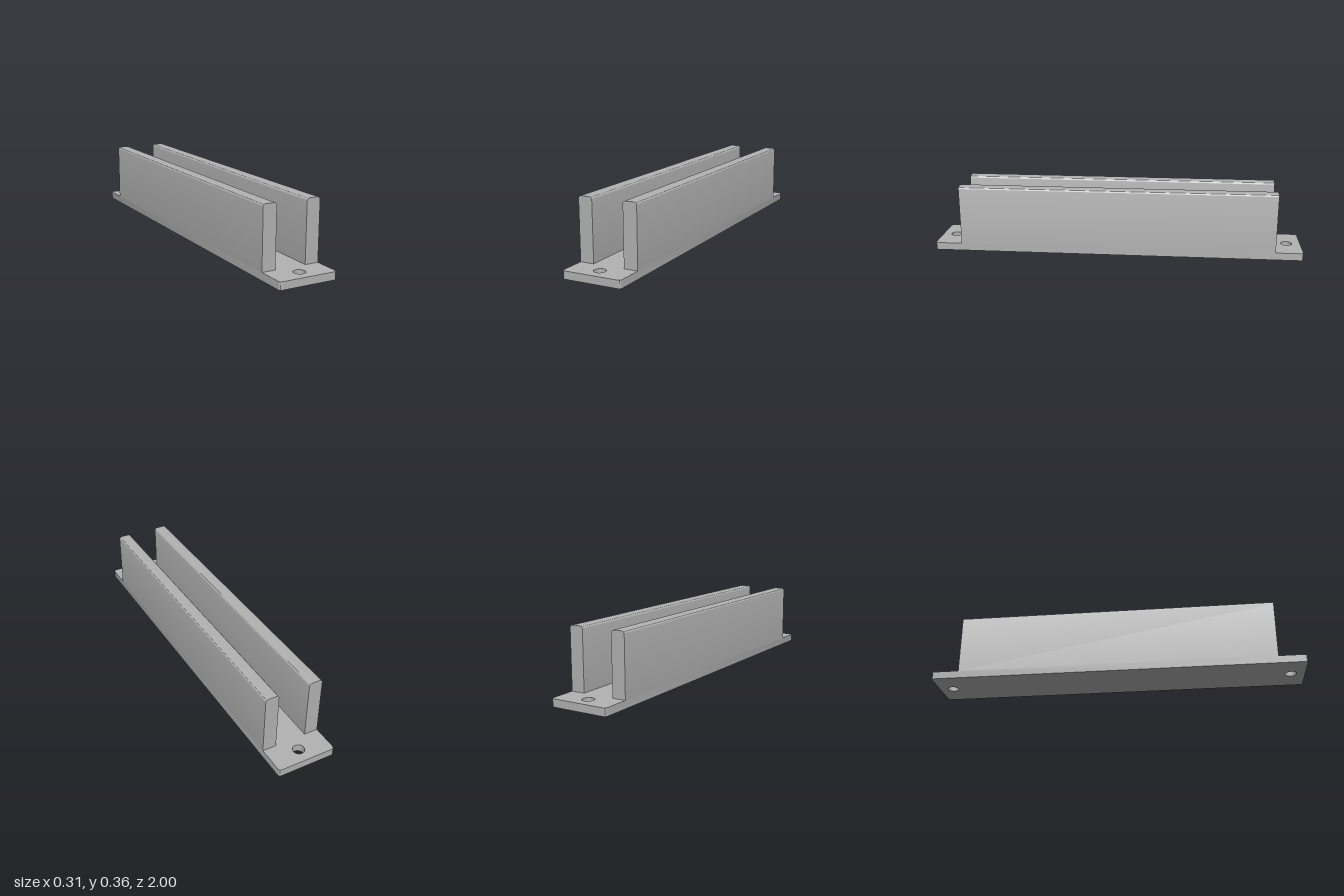
import * as THREE from 'three';
import { toCreasedNormals } from 'three/addons/utils/BufferGeometryUtils.js';

const HALF_WIDTH = 0.156, BASE_H = 0.04, TOP = 0.36;

// Rectangle with separate corner radii for its lower and upper corners
function roundedRect(x0, y0, x1, y1, low, high) {
  const s = new THREE.Shape();
  s.moveTo(x0 + low, y0);
  s.lineTo(x1 - low, y0);
  if (low) s.absarc(x1 - low, y0 + low, low, -Math.PI / 2, 0, false);
  s.lineTo(x1, y1 - high);
  s.absarc(x1 - high, y1 - high, high, 0, Math.PI / 2, false);
  s.lineTo(x0 + high, y1);
  s.absarc(x0 + high, y1 - high, high, Math.PI / 2, Math.PI, false);
  s.lineTo(x0, y0 + low);
  if (low) s.absarc(x0 + low, y0 + low, low, Math.PI, Math.PI * 1.5, false);
  return s;
}

function extrude(shape, depth) {
  return new THREE.ExtrudeGeometry(shape, { depth, bevelEnabled: false, curveSegments: 16 });
}

export function createModel() {
  const model = new THREE.Group();
  model.name = 'channelBracket';
  const grey = new THREE.MeshStandardMaterial({ color: 0xb2b2b2 });
  grey.name = 'grey';

  const add = (name, geometry) => {
    const mesh = new THREE.Mesh(toCreasedNormals(geometry, 0.6), grey);
    mesh.name = name;
    model.add(mesh);
  };

  // Base plate with a screw hole near each end
  const plate = roundedRect(-HALF_WIDTH, -1, HALF_WIDTH, 1, 0.015, 0.015);
  for (const z of [-0.925, 0.925]) {
    const hole = new THREE.Path();
    hole.absarc(0, z, 0.03, 0, Math.PI * 2, true);
    plate.holes.push(hole);
  }
  add('basePlate', extrude(plate, BASE_H).rotateX(-Math.PI / 2));

  // Two long upright walls with rounded top edges
  const wallLength = 1.706, inner = 0.083;
  const walls = [['leftWall', inner, HALF_WIDTH], ['rightWall', -HALF_WIDTH, -inner]];
  for (const [name, x0, x1] of walls) {
    const profile = roundedRect(x0, BASE_H, x1, TOP, 0, 0.015);
    add(name, extrude(profile, wallLength).translate(0, 0, -wallLength / 2));
  }
  return model;
}
